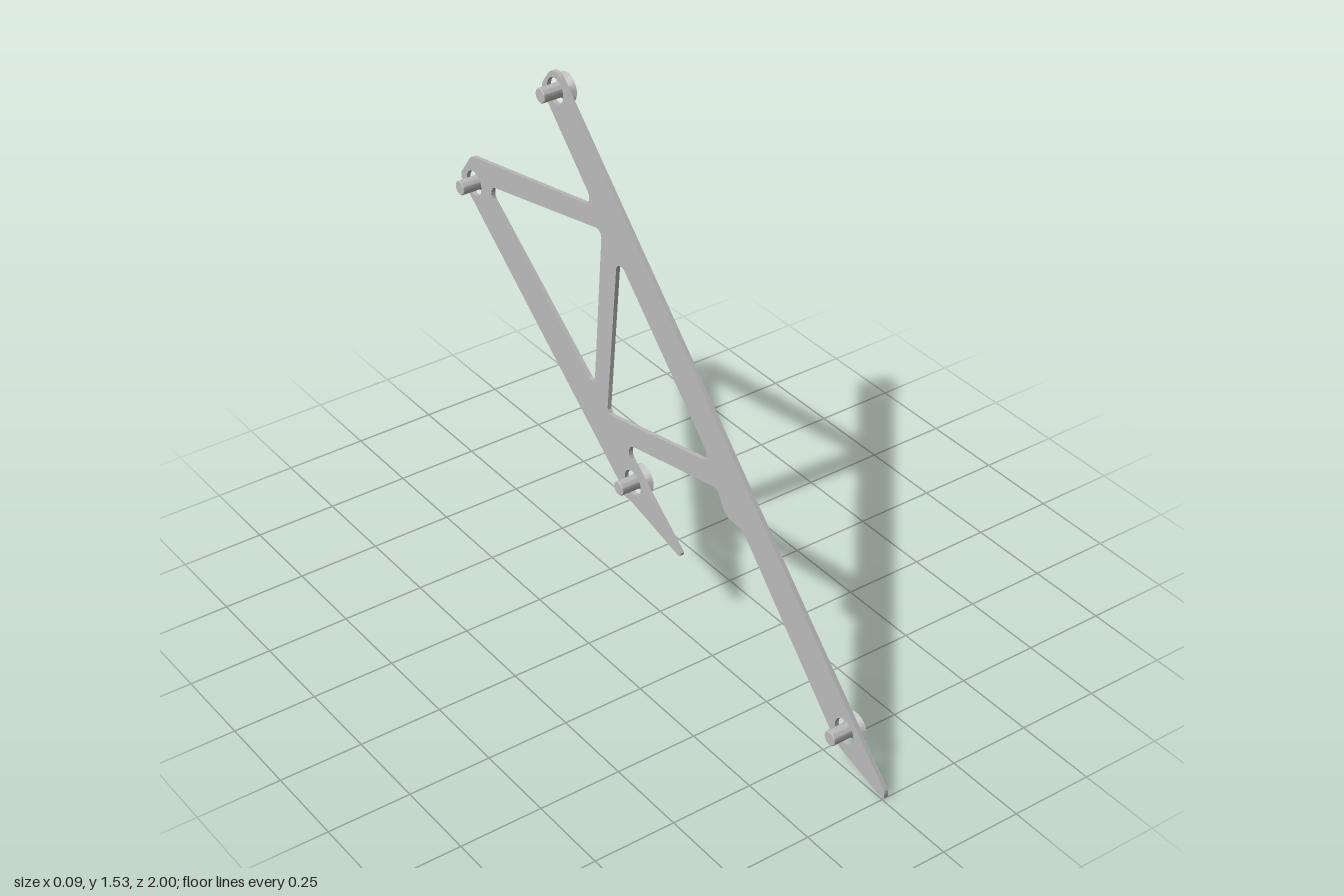
import * as THREE from 'three';
import { toCreasedNormals } from 'three/addons/utils/BufferGeometryUtils.js';

// Traces a closed polygon of [u, y, radius] corners, rounding each corner with an arc.
function roundedPath(path, corners) {
  const n = corners.length;
  corners.forEach(([x, y, r], i) => {
    const p = new THREE.Vector2(x, y);
    const a = new THREE.Vector2(...corners[(i + n - 1) % n].slice(0, 2)).sub(p).normalize();
    const b = new THREE.Vector2(...corners[(i + 1) % n].slice(0, 2)).sub(p).normalize();
    const half = Math.acos(THREE.MathUtils.clamp(a.dot(b), -1, 1)) / 2;
    const t = r / Math.tan(half);
    const c = a.clone().add(b).normalize().multiplyScalar(r / Math.sin(half)).add(p);
    const s = a.clone().multiplyScalar(t).add(p).sub(c);
    const e = b.clone().multiplyScalar(t).add(p).sub(c);
    if (i === 0) path.moveTo(c.x + s.x, c.y + s.y);
    path.absarc(c.x, c.y, r, s.angle(), e.angle(), a.cross(b) > 0);
  });
  path.closePath();
  return path;
}

export function createModel() {
  const group = new THREE.Group();
  group.name = 'bracket';
  const grey = new THREE.MeshStandardMaterial({ color: 0xbababa });
  grey.name = 'grey metal';

  // Outline of the plate, u pointing to the back
  const outline = [
    [-1.003, 0.03, 0.008], [-1.003, 0, 0.008], [-0.8, 0.056, 0.08],       // long foot
    [-0.372, 0.511, 0.015], [-0.297, 0.511, 0.05], [-0.256, 0.582, 0.02], // bump
    [0.195, 0.487, 0.03],                                                 // notch
    [-0.094, 0.259, 0.006], [-0.084, 0.248, 0.005], [0.168, 0.31, 0.055], // short foot
    [1.006, 0.982, 0.025], [0.939, 1.072, 0.04],                          // rear corner
    [0.31, 1.195, 0.026],                                                 // upper notch
    [0.565, 1.46, 0.03], [0.495, 1.552, 0.04],                            // top end
  ];
  // Two triangular windows
  const windows = [
    [[-0.233, 0.65, 0.027], [0.262, 0.543, 0.019], [0.206, 1.094, 0.024]],
    [[0.278, 1.138, 0.021], [0.324, 0.596, 0.022], [0.871, 1.011, 0.027]],
  ];
  // Fastener centres [u, y]
  const centres = [[-0.829, 0.118], [0.139, 0.374], [0.928, 0.987], [0.492, 1.473]];

  const shape = roundedPath(new THREE.Shape(), outline);
  windows.forEach((w) => shape.holes.push(roundedPath(new THREE.Path(), w)));
  centres.forEach(([u, y]) => {
    shape.holes.push(new THREE.Path().absarc(u, y, 0.039, 0, Math.PI * 2, true));
  });
  const plateGeo = new THREE.ExtrudeGeometry(shape, { depth: 0.013, bevelEnabled: false, curveSegments: 12 });
  plateGeo.rotateY(Math.PI / 2).translate(0.004, 0, 0);
  const plate = new THREE.Mesh(toCreasedNormals(plateGeo, 0.6), grey);
  plate.name = 'plate';
  group.add(plate);

  // Countersunk fasteners: shank, flared head and blind socket
  const profile = [
    [0, -0.046], [0.02, -0.046], [0.022, -0.044], [0.022, 0.018],
    [0.045, 0.045], [0.017, 0.045], [0.017, 0.02], [0, 0.02],
  ].map(([r, h]) => new THREE.Vector2(r, h));
  const fastenerGeo = toCreasedNormals(new THREE.LatheGeometry(profile, 32).rotateZ(-Math.PI / 2), 0.5);
  centres.forEach(([u, y], i) => {
    const fastener = new THREE.Mesh(fastenerGeo, grey);
    fastener.name = `fastener${i + 1}`;
    fastener.position.set(0, y, -u);
    group.add(fastener);
  });
  return group;
}
